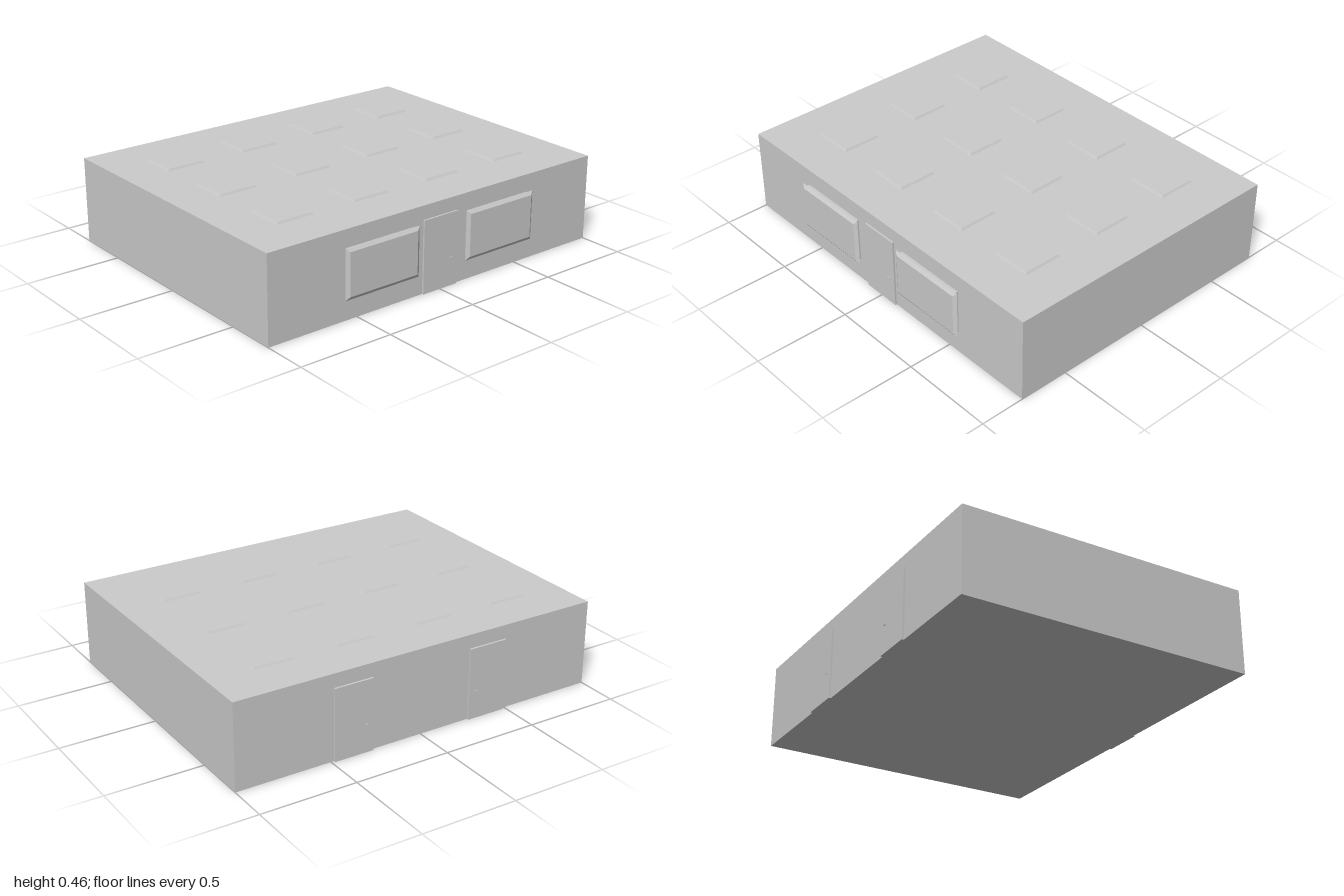
import * as THREE from 'three';

const material = new THREE.MeshStandardMaterial({ color: 0xcccccc, flatShading: true });

// Box given by its limits on each axis
function box(name, [x0, x1], [y0, y1], [z0, z1]) {
  const mesh = new THREE.Mesh(new THREE.BoxGeometry(x1 - x0, y1 - y0, z1 - z0), material);
  mesh.position.set((x0 + x1) / 2, (y0 + y1) / 2, (z0 + z1) / 2);
  mesh.name = name;
  return mesh;
}

// Block on the local z = 0 plane whose front (+z) face is inset on all sides
function bevelledBlock(name, width, height, depth, inset) {
  const geometry = new THREE.BoxGeometry(width, height, depth).translate(0, 0, depth / 2);
  const p = geometry.attributes.position;
  for (let i = 0; i < p.count; i++) {
    if (p.getZ(i) > depth / 2) {
      p.setX(i, p.getX(i) - Math.sign(p.getX(i)) * inset);
      p.setY(i, p.getY(i) - Math.sign(p.getY(i)) * inset);
    }
  }
  geometry.computeVertexNormals();
  const mesh = new THREE.Mesh(geometry, material);
  mesh.name = name;
  return mesh;
}

// Door slab facing local +z, with a small lever handle on one side
function door(name, depth, handleSide) {
  const group = new THREE.Group();
  group.name = name;
  group.add(box('doorLeaf', [-0.105, 0.105], [0, 0.375], [-0.005, depth]));
  const stem = new THREE.Mesh(new THREE.CylinderGeometry(0.004, 0.004, 0.003, 12), material);
  stem.name = 'handleStem';
  stem.rotation.x = Math.PI / 2;
  stem.position.set(handleSide * 0.073, 0.147, depth + 0.0015);
  const lever = box('handleLever', [-0.01, 0.01], [0.144, 0.15], [depth + 0.001, depth + 0.004]);
  lever.position.x = handleSide * 0.066;
  group.add(stem, lever);
  return group;
}

// Display window: a neck on the wall carrying a wider bevelled pane
function displayWindow(name) {
  const group = new THREE.Group();
  group.name = name;
  group.add(box('windowNeck', [-0.2, 0.2], [-0.118, 0.118], [-0.005, 0.022]));
  const pane = bevelledBlock('windowPane', 0.438, 0.256, 0.012, 0.018);
  pane.position.z = 0.022;
  group.add(pane);
  return group;
}

export function createModel() {
  const model = new THREE.Group();
  model.name = 'building';
  const front = 0.766, back = -0.785, roof = 0.447;

  model.add(box('walls', [-1, 1], [0, roof], [back, front]));

  // Roof skylights in a 4 by 3 grid
  for (let row = 0; row < 3; row++) {
    for (let column = 0; column < 4; column++) {
      const skylight = bevelledBlock('skylight', 0.21, 0.21, 0.011, 0.007);
      skylight.rotation.x = -Math.PI / 2;
      skylight.position.set(-0.67 + column * 0.445, roof, -0.46 + row * 0.445);
      model.add(skylight);
    }
  }

  // Front entrance
  const frontDoor = door('frontDoor', 0.009, 1);
  frontDoor.position.z = front;
  model.add(frontDoor);

  // Mirrored windows and back doors
  for (const side of [-1, 1]) {
    const pane = displayWindow('frontWindow');
    pane.position.set(side * 0.367, 0.238, front);
    const backDoor = door('backDoor', 0.011, side);
    backDoor.rotation.y = Math.PI;
    backDoor.position.set(side * 0.38, 0, back);
    model.add(pane, backDoor);
  }
  return model;
}
